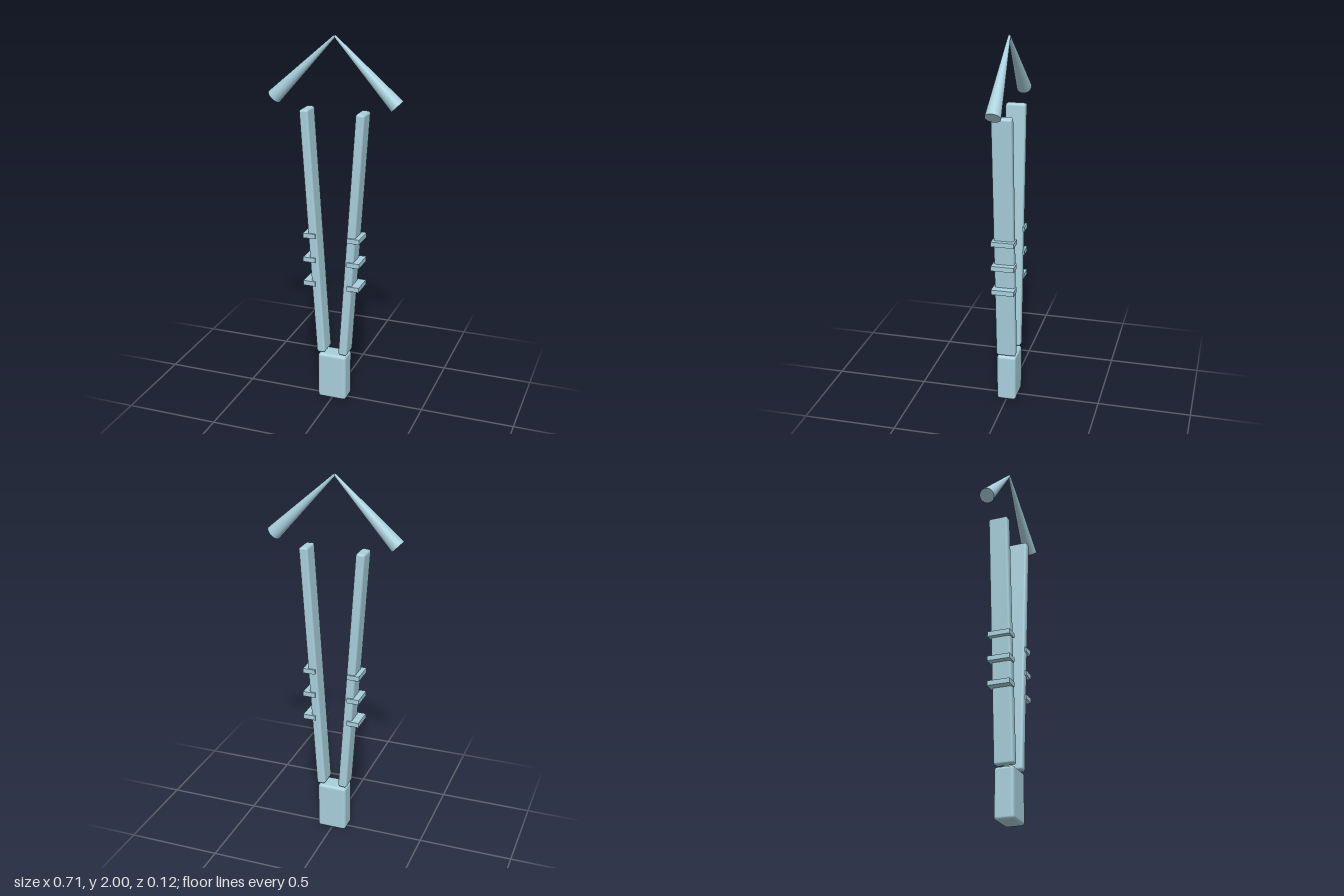
import * as THREE from 'three';
import { RoundedBoxGeometry } from 'three/addons/geometries/RoundedBoxGeometry.js';

export function createModel() {
  const model = new THREE.Group();
  const material = new THREE.MeshStandardMaterial({ color: 0xa8d0dc });

  const add = (name, geometry, x, y, tilt = 0) => {
    const mesh = new THREE.Mesh(geometry, material);
    mesh.name = name;
    mesh.position.set(x, y, 0);
    mesh.rotation.z = tilt;
    model.add(mesh);
  };

  // Block joining the two arms
  add('base', new RoundedBoxGeometry(0.16, 0.265, 0.105, 4, 0.016), 0, 0.137);

  const armGeometry = new RoundedBoxGeometry(0.048, 1.348, 0.106, 4, 0.012);
  const ridgeGeometry = new THREE.BoxGeometry(0.067, 0.026, 0.122);
  const tipGeometry = new THREE.CylinderGeometry(0.0065, 0.04, 0.464, 32);

  for (const [side, s] of [['left', 1], ['right', -1]]) {
    // Arm leaning outwards from the base
    add(side + 'Arm', armGeometry, s * 0.106, 0.951, -s * 0.067);

    // Finger grip ridges
    for (const y of [0.682, 0.817, 0.952]) {
      add(side + 'GripRidge', ridgeGeometry, s * 0.122, y);
    }

    // Tapered tip, narrow end meeting the other at the top
    add(side + 'Tip', tipGeometry, s * 0.164, 1.831, s * Math.PI / 4);
  }

  return model;
}
